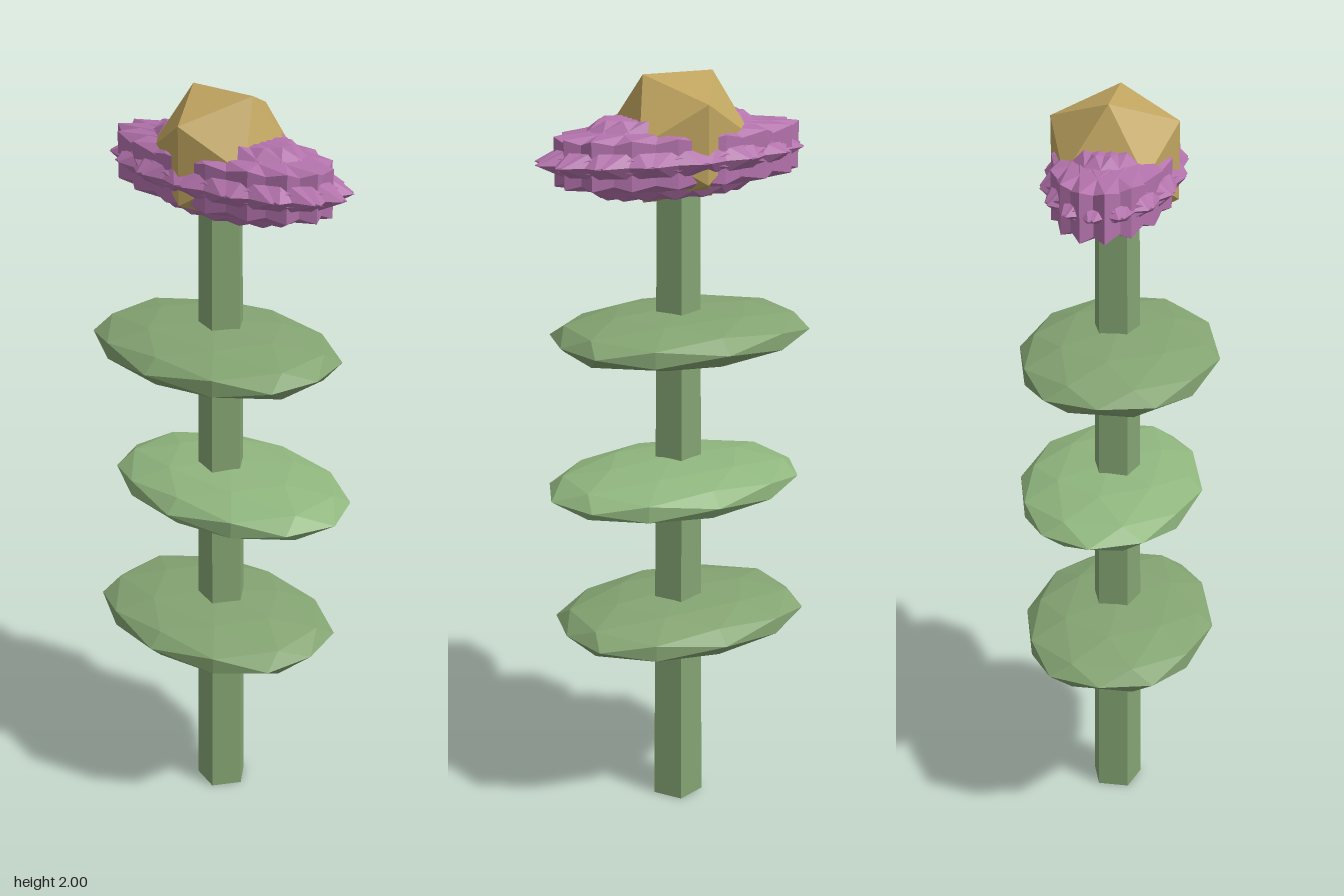
import * as THREE from 'three';

const paint = (color) => new THREE.MeshStandardMaterial({ color, flatShading: true });

export function createModel() {
  const group = new THREE.Group();
  const green = paint(0x84a472);
  const lightGreen = paint(0x90b67e);
  const purple = paint(0xb272ab);
  const gold = paint(0xc0a560);

  const add = (name, geometry, material, x, y, z, parent = group) => {
    const mesh = new THREE.Mesh(geometry, material);
    mesh.name = name;
    mesh.position.set(x, y, z);
    parent.add(mesh);
    return mesh;
  };

  // Five-sided tapering stem, one edge towards +x
  const stemGeometry = new THREE.CylinderGeometry(0.058, 0.071, 1.8, 5);
  stemGeometry.rotateY(Math.PI / 2);
  add('stem', stemGeometry, green, -0.015, 0.9, -0.005);

  // Flattened faceted leaves; tip limits the reach along x to blunt the ends
  const leafGeometry = (rx, ry, rz, tip) => {
    const geometry = new THREE.IcosahedronGeometry(1, 1).scale(rx, ry, rz);
    const p = geometry.attributes.position;
    for (let i = 0; i < p.count; i++) {
      p.setX(i, THREE.MathUtils.clamp(p.getX(i), -tip, tip));
    }
    geometry.computeVertexNormals();
    return geometry;
  };
  const bluntLeaf = leafGeometry(0.365, 0.07, 0.258, 0.342);
  add('lowerLeaf', bluntLeaf, green, -0.03, 0.54, 0.005);
  add('middleLeaf', leafGeometry(0.357, 0.07, 0.245, 0.357), lightGreen, 0.002, 0.94, -0.022);
  add('upperLeaf', bluntLeaf, green, -0.03, 1.335, 0.005);

  // Spiky blossom: icosahedra turned in steps, then squashed to one oval
  const petals = new THREE.Group();
  petals.name = 'petals';
  group.add(petals);
  const count = 8;
  for (let k = 0; k < count; k++) {
    const geometry = new THREE.IcosahedronGeometry(1, 0);
    geometry.rotateY(((k + 0.5) * Math.PI) / count);
    geometry.scale(0.372, 0.115, 0.175);
    // The -x end is blunter than the +x end
    const p = geometry.attributes.position;
    for (let i = 0; i < p.count; i++) {
      const h = Math.abs(p.getY(i));
      if (p.getX(i) < 0 && h > 0.03 && h < 0.08) p.setX(i, p.getX(i) * 1.13);
    }
    geometry.computeVertexNormals();
    add('petal', geometry, purple, 0, 1.802, -0.008, petals);
  }

  // Golden flower heart
  add('flowerHeart', new THREE.IcosahedronGeometry(0.185, 0), gold, -0.015, 1.843, -0.008);

  return group;
}
